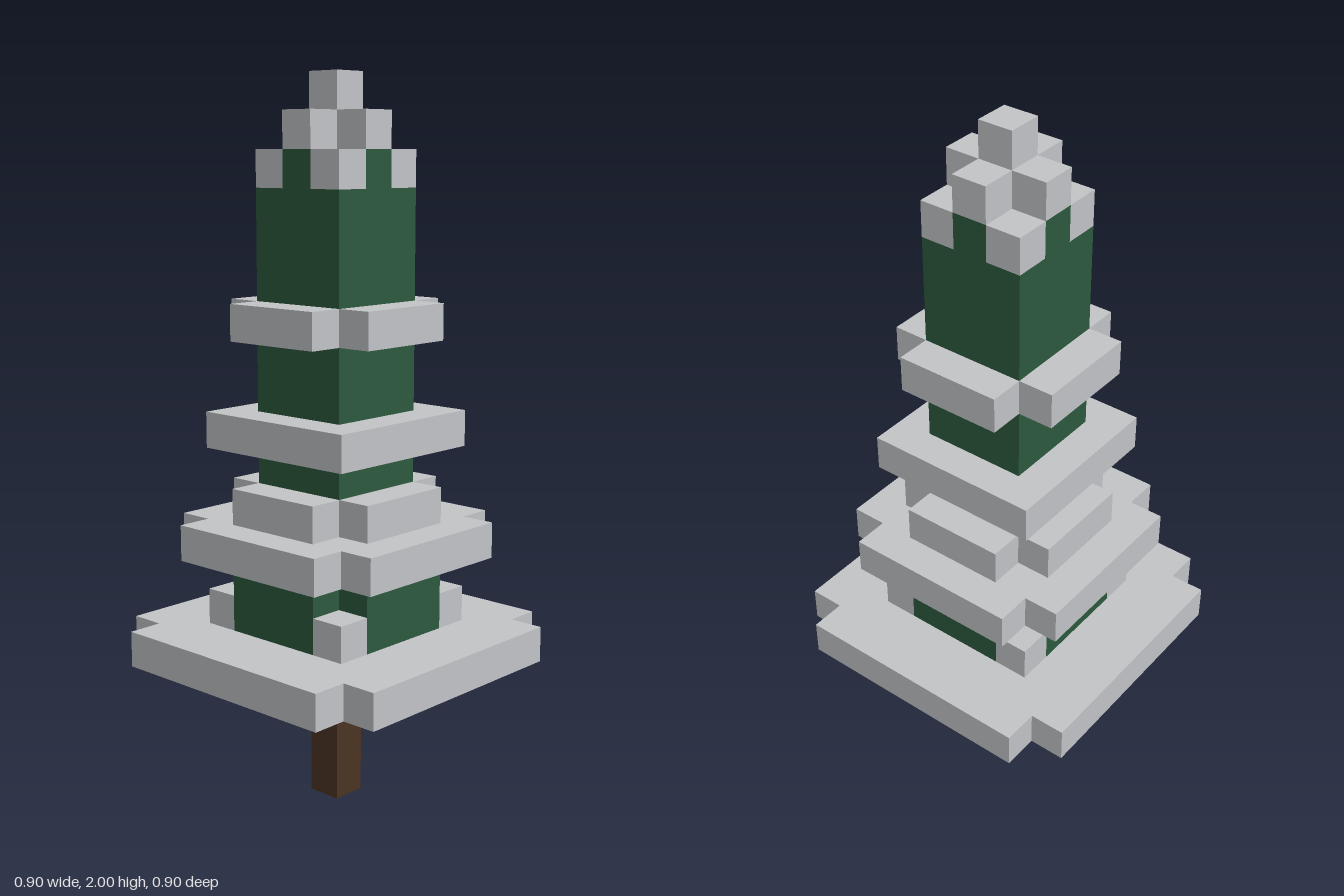
import * as THREE from 'three';

const mat = (name, color) => {
  const m = new THREE.MeshStandardMaterial({ color });
  m.name = name;
  return m;
};

// Square, or a plus shape when the notched side is shorter than the full side
function outline(full, side) {
  const a = full / 2, b = side / 2;
  const pts = a === b
    ? [[a, -a], [a, a], [-a, a], [-a, -a]]
    : [[a, -b], [a, b], [b, b], [b, a], [-b, a], [-b, b],
       [-a, b], [-a, -b], [-b, -b], [-b, -a], [b, -a], [b, -b]];
  return pts.map(([x, y]) => new THREE.Vector2(x, y));
}

export function createModel() {
  const tree = new THREE.Group();
  tree.name = 'snowyTree';
  const snow = mat('snow', 0xc4c6c9);
  const green = mat('needles', 0x2d5a3f);
  const bark = mat('bark', 0x4c3523);

  // A layer from height y0 to y1, optionally with a square hole
  function layer(name, material, full, side, y0, y1, hole = 0) {
    const shape = new THREE.Shape(outline(full, side));
    if (hole) shape.holes.push(new THREE.Path(outline(hole, hole).reverse()));
    const geo = new THREE.ExtrudeGeometry(shape, { depth: y1 - y0, bevelEnabled: false });
    geo.rotateX(-Math.PI / 2);
    const mesh = new THREE.Mesh(geo, material);
    mesh.position.y = y0;
    mesh.name = name;
    tree.add(mesh);
  }

  // Four snow cubes on the corners of a square
  function cornerCubes(name, offset, y) {
    const group = new THREE.Group();
    group.name = name;
    for (const sx of [-1, 1]) for (const sz of [-1, 1]) {
      const cube = new THREE.Mesh(new THREE.BoxGeometry(0.1, 0.1, 0.1), snow);
      cube.position.set(sx * offset, y + 0.05, sz * offset);
      cube.name = 'snowCube';
      group.add(cube);
    }
    tree.add(group);
  }

  layer('trunk', bark, 0.1, 0.1, 0, 0.4);

  // Green foliage
  layer('foliageUnderside', green, 0.5, 0.5, 0.4, 0.5);
  layer('lowerFoliage', green, 0.5, 0.3, 0.5, 0.7);
  layer('middleFoliage', green, 0.3, 0.3, 0.9, 1.0);
  layer('upperFoliage', green, 0.3, 0.3, 1.1, 1.3);
  layer('topFoliage', green, 0.3, 0.3, 1.4, 1.7);
  layer('crownFoliage', green, 0.3, 0.1, 1.7, 1.8);

  // Snow-covered branches
  layer('bottomSnowBranch', snow, 0.9, 0.7, 0.4, 0.5, 0.5);
  cornerCubes('lowerSnowCorners', 0.2, 0.5);
  layer('secondSnowBranch', snow, 0.7, 0.5, 0.7, 0.8);
  layer('secondSnowMound', snow, 0.5, 0.3, 0.8, 0.9);
  layer('thirdSnowBranch', snow, 0.5, 0.5, 1.0, 1.1);
  layer('topSnowBranch', snow, 0.5, 0.3, 1.3, 1.4);

  // Snow cap
  cornerCubes('capSnowCorners', 0.1, 1.7);
  layer('capSnow', snow, 0.3, 0.1, 1.8, 1.9);
  layer('capTip', snow, 0.1, 0.1, 1.9, 2.0);

  return tree;
}
